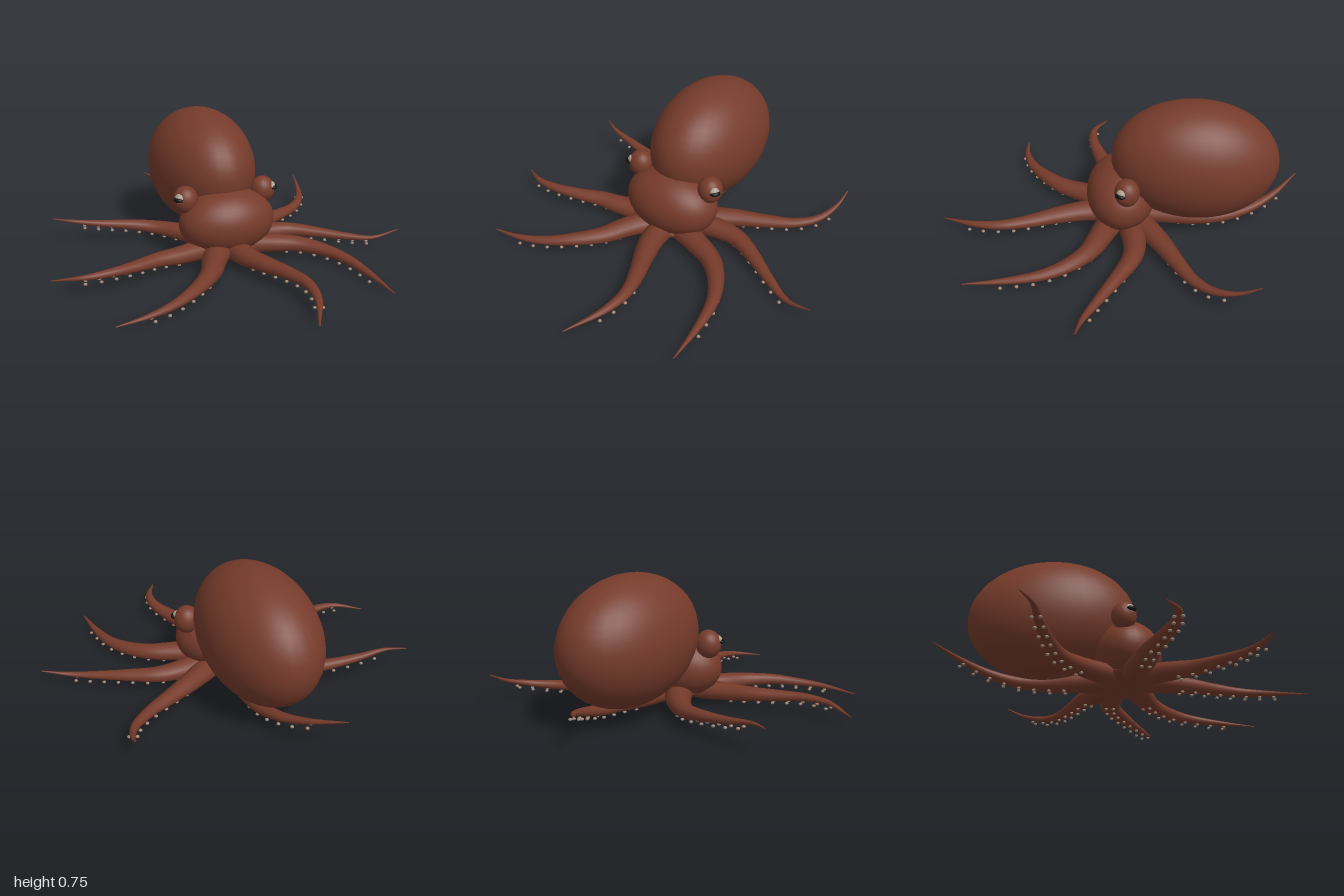
import * as THREE from 'three';
import { mergeGeometries } from 'three/addons/utils/BufferGeometryUtils.js';

const skin = new THREE.MeshStandardMaterial({ name: 'red brown skin', color: 0x763b2b });
const suckerMat = new THREE.MeshStandardMaterial({ name: 'pale sucker', color: 0x9c8474 });
const eyeMat = new THREE.MeshStandardMaterial({ name: 'eye grey', color: 0xaca092 });
const pupilMat = new THREE.MeshStandardMaterial({ name: 'pupil black', color: 0x15100e });

// Centre lines of the eight arms, from the body to the tip
const ARMS = {
  backLeftArm: [[0.04, 0.08, -0.04], [0.3, 0.075, -0.2], [0.45, 0.07, -0.275], [0.6, 0.07, -0.355], [0.7, 0.085, -0.45], [0.753, 0.12, -0.57], [0.77, 0.17, -0.67]],
  leftArm: [[0.05, 0.08, -0.03], [0.3, 0.075, -0.065], [0.42, 0.07, -0.05], [0.56, 0.06, 0.025], [0.7, 0.047, 0.115], [0.84, 0.045, 0.195], [0.985, 0.085, 0.23]],
  frontLeftArm: [[0.05, 0.08, 0.03], [0.24, 0.08, 0.11], [0.38, 0.075, 0.18], [0.48, 0.065, 0.29], [0.54, 0.055, 0.42], [0.567, 0.043, 0.6], [0.575, 0.03, 0.82]],
  frontArm: [[0.015, 0.08, 0.03], [0.03, 0.08, 0.22], [0.075, 0.085, 0.36], [0.13, 0.09, 0.5], [0.168, 0.092, 0.65], [0.148, 0.083, 0.8], [0.05, 0.05, 0.995]],
  frontRightArm: [[-0.03, 0.08, 0.03], [-0.14, 0.08, 0.2], [-0.22, 0.075, 0.34], [-0.34, 0.07, 0.46], [-0.48, 0.055, 0.545], [-0.62, 0.043, 0.588], [-0.79, 0.025, 0.597]],
  rightArm: [[-0.05, 0.08, 0.02], [-0.3, 0.08, 0.075], [-0.42, 0.085, 0.095], [-0.56, 0.09, 0.14], [-0.7, 0.095, 0.173], [-0.83, 0.09, 0.168], [-0.985, 0.065, 0.09]],
  backRightArm: [[-0.03, 0.08, -0.03], [-0.18, 0.08, -0.24], [-0.29, 0.085, -0.345], [-0.42, 0.1, -0.4], [-0.6, 0.12, -0.44], [-0.75, 0.145, -0.47], [-0.85, 0.155, -0.525]],
  backArm: [[0.01, 0.08, -0.04], [0.04, 0.07, -0.25], [0.07, 0.07, -0.42], [0.07, 0.08, -0.58], [0.04, 0.115, -0.73], [-0.03, 0.155, -0.86], [-0.155, 0.2, -0.998]],
};

// Arm half-width along its length, 0 at the body and 1 at the tip; arms are flatter than wide
const TAPER = [0.058, 0.075, 0.068, 0.06, 0.051, 0.043, 0.035, 0.028, 0.02, 0.011, 0.003];
const FLATNESS = 0.7;
function armRadius(t) {
  const f = t * (TAPER.length - 1);
  const i = Math.min(Math.floor(f), TAPER.length - 2);
  return THREE.MathUtils.lerp(TAPER[i], TAPER[i + 1], f - i);
}

function ellipsoid(name, material, pos, radii, w = 32, h = 20) {
  const mesh = new THREE.Mesh(new THREE.SphereGeometry(1, w, h), material);
  mesh.name = name;
  mesh.position.set(...pos);
  mesh.scale.set(...radii);
  return mesh;
}

// Tapered, flattened tube with two rows of suckers underneath
function makeArm(name, points) {
  const arm = new THREE.Group();
  arm.name = name;
  const curve = new THREE.CatmullRomCurve3(points.map(p => new THREE.Vector3(...p)));
  const steps = 48, sides = 14;
  const geo = new THREE.TubeGeometry(curve, steps, 1, sides, false);
  const pos = geo.attributes.position;
  const v = new THREE.Vector3();
  for (let i = 0; i <= steps; i++) {
    const centre = curve.getPointAt(i / steps);
    for (let j = 0; j <= sides; j++) {
      const k = i * (sides + 1) + j;
      v.fromBufferAttribute(pos, k).sub(centre).multiplyScalar(armRadius(i / steps));
      v.y *= FLATNESS;
      v.add(centre);
      pos.setXYZ(k, v.x, v.y, v.z);
    }
  }
  const limb = new THREE.Mesh(geo, skin);
  limb.name = 'limb';
  arm.add(limb);

  const cups = [];
  for (let i = 0; i < 8; i++) {
    const t = 0.27 + i * 0.078;
    const centre = curve.getPointAt(t);
    const dir = curve.getTangentAt(t);
    const across = new THREE.Vector3(-dir.z, 0, dir.x).normalize();
    const drop = armRadius(t) * 0.4 + 0.02;
    for (const s of [-1, 1]) {
      const c = centre.clone().addScaledVector(across, s * 0.02);
      cups.push(new THREE.SphereGeometry(0.01, 10, 8).scale(1, 0.75, 1)
        .translate(c.x, Math.max(c.y - drop, 0.0075), c.z));
    }
  }
  const suckers = new THREE.Mesh(mergeGeometries(cups), suckerMat);
  suckers.name = 'suckers';
  arm.add(suckers);
  return arm;
}

// Raised eye bulb with a small eyeball and a wide bar pupil, turned outward and forward
function makeEye(side) {
  const eye = new THREE.Group();
  eye.name = side > 0 ? 'leftEye' : 'rightEye';
  eye.position.set(0.01 + side * 0.228, 0.353, -0.025);
  eye.add(ellipsoid('eyeBulb', skin, [0, 0, 0], [0.069, 0.076, 0.067], 24, 16));
  const ball = new THREE.Group();
  ball.name = 'eyeball';
  ball.rotation.y = side * 0.98;
  ball.add(ellipsoid('eyeWhite', eyeMat, [0, 0.018, 0.047], [0.03, 0.03, 0.028], 20, 14));
  ball.add(ellipsoid('pupil', pupilMat, [0, 0.016, 0.064], [0.029, 0.014, 0.021], 16, 10));
  eye.add(ball);
  return eye;
}

export function createModel() {
  const model = new THREE.Group();
  model.name = 'octopus';
  const mantle = ellipsoid('mantle', skin, [0.012, 0.415, -0.398], [0.287, 0.337, 0.456], 32, 24);
  mantle.rotation.x = -0.08;
  model.add(
    mantle,
    ellipsoid('head', skin, [0.012, 0.21, 0.002], [0.272, 0.184, 0.192], 36, 24),
    ellipsoid('armHub', skin, [0.01, 0.08, 0], [0.18, 0.05, 0.17]),
    makeEye(1),
    makeEye(-1),
  );
  for (const [name, points] of Object.entries(ARMS)) model.add(makeArm(name, points));
  return model;
}
